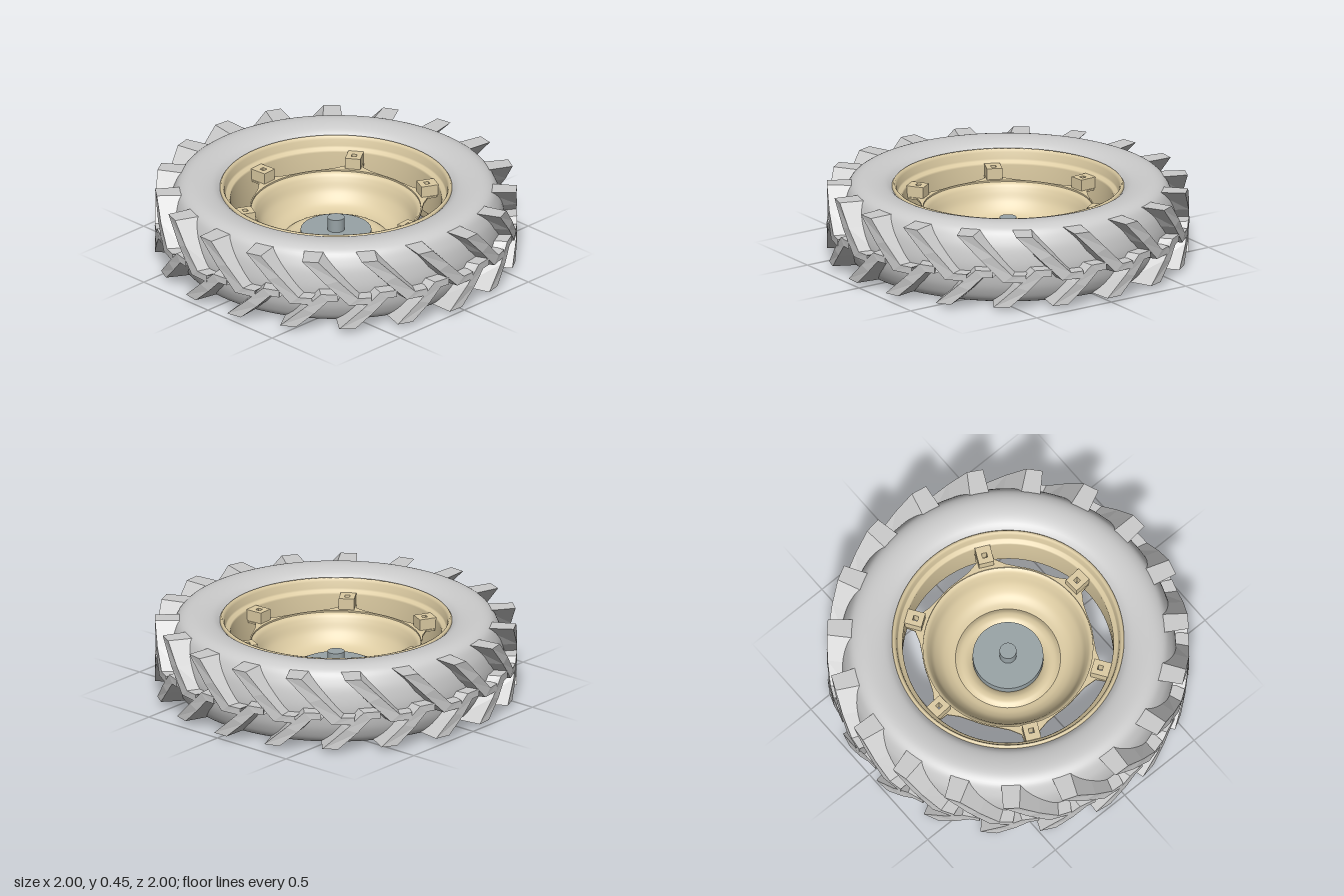
import * as THREE from 'three';

const H = 0.455; // overall height; the wheel axis is y
const mat = (color, extra = {}) => new THREE.MeshStandardMaterial({ color, ...extra });
const rubber = mat(0xcccccc, { side: THREE.DoubleSide });
const rubberFlat = mat(0xcccccc, { flatShading: true });
const paint = mat(0xdccba2, { side: THREE.DoubleSide });
const steel = mat(0x98a3a6);

const vecs = (list) => list.map(([r, y]) => new THREE.Vector2(r, y));
// Adds the mirror image of a lower half profile, so it runs bottom to top
const mirrored = (list) => [...list, ...list.slice(0, -1).reverse().map(([r, y]) => [r, H - y])];
const smooth = (list, n) => new THREE.SplineCurve(vecs(list)).getPoints(n);

function add(parent, name, geometry, material, x = 0, y = 0, z = 0) {
  const mesh = new THREE.Mesh(geometry, material);
  mesh.name = name;
  mesh.position.set(x, y, z);
  parent.add(mesh);
  return mesh;
}

// Tread bar cross-sections [uLeft, yLeft, uRight, yRight], wrapped round the axis
const upperBar = [
  [-0.045, 0.43, 0.045, 0.43],
  [0.088, 0.295, 0.155, 0.318],
  [0.215, 0.168, 0.265, 0.208],
  [0.34, 0.168, 0.34, 0.208],
];
const lowerBar = [
  [-0.045, 0.025, 0.045, 0.025],
  [0.085, 0.14, 0.15, 0.118],
  [0.185, 0.235, 0.225, 0.195],
  [0.28, 0.235, 0.28, 0.195],
];

function barGeometry(sections, flip) {
  const pos = [];
  const put = (u, y, r) => pos.push(r * Math.sin(u), y, r * Math.cos(u));
  const base = (y) => 0.91 - 0.08 * Math.pow(Math.abs(y - H / 2) / 0.2, 4);
  for (const [ul, yl, ur, yr] of sections) {
    put(ul, yl, 1);
    put(ur, yr, 1);
    put(ur + 0.022, yr, base(yr));
    put(ul - 0.022, yl, base(yl));
  }
  const idx = [];
  const quad = (a, b, c, d) => idx.push(...(flip ? [a, c, b, a, d, c] : [a, b, c, a, c, d]));
  for (let s = 0; s < sections.length - 1; s++) {
    for (let i = 0; i < 4; i++) {
      const j = (i + 1) % 4;
      quad(s * 4 + i, s * 4 + 4 + i, s * 4 + 4 + j, s * 4 + j);
    }
  }
  const e = (sections.length - 1) * 4;
  quad(0, 1, 2, 3);
  quad(e + 3, e + 2, e + 1, e);
  const indexed = new THREE.BufferGeometry();
  indexed.setAttribute('position', new THREE.Float32BufferAttribute(pos, 3));
  indexed.setIndex(idx);
  const geo = indexed.toNonIndexed();
  geo.computeVertexNormals();
  return geo;
}

function squareHole(cx, cy, angle, half) {
  const path = new THREE.Path();
  for (let i = 0; i < 4; i++) {
    const a = angle + Math.PI / 4 - (i * Math.PI) / 2;
    const x = cx + half * Math.SQRT2 * Math.cos(a);
    const y = cy + half * Math.SQRT2 * Math.sin(a);
    if (i) path.lineTo(x, y); else path.moveTo(x, y);
  }
  path.closePath();
  return path;
}

// Extrudes a plan shape upwards
function slab(shape, depth) {
  const geo = new THREE.ExtrudeGeometry(shape, { depth, bevelEnabled: false, curveSegments: 64 });
  return geo.rotateX(-Math.PI / 2);
}

export function createModel() {
  const wheel = new THREE.Group();
  wheel.name = 'tractorWheel';

  // Tyre carcass
  const tyre = new THREE.Group();
  tyre.name = 'tyre';
  wheel.add(tyre);
  const carcass = mirrored([
    [0.636, 0.05], [0.67, 0.022], [0.72, 0.006], [0.78, 0], [0.83, 0.007],
    [0.87, 0.03], [0.897, 0.075], [0.917, 0.135], [0.928, H / 2],
  ]);
  add(tyre, 'carcass', new THREE.LatheGeometry(smooth(carcass, 60), 128), rubber);

  // Chevron tread bars, the two rows staggered by about half a pitch
  const bars = 19;
  const pitch = (Math.PI * 2) / bars;
  const upper = barGeometry(upperBar, false);
  const lower = barGeometry(lowerBar, true);
  for (let i = 0; i < bars; i++) {
    add(tyre, 'upperTreadBar', upper, rubberFlat).rotation.y = -0.02 + i * pitch;
    add(tyre, 'lowerTreadBar', lower, rubberFlat).rotation.y = 0.02 + (i + 0.5) * pitch;
  }

  // Rim with rolled lips and a stepped well
  const rim = mirrored([
    [0.641, 0.06], [0.641, 0.042], [0.634, 0.032], [0.624, 0.034], [0.616, 0.05], [0.61, 0.085],
    [0.606, 0.095], [0.587, 0.103], [0.582, 0.113], [0.58, H / 2],
  ]);
  add(wheel, 'rim', new THREE.LatheGeometry(vecs(rim), 96), paint);

  // Dished centre disc, and the raised ring between it and the hub
  const dish = [
    [0.29, 0.104], [0.33, 0.113], [0.37, 0.137], [0.41, 0.185],
    [0.435, 0.24], [0.452, 0.27], [0.475, 0.285],
  ];
  const ring = [[0.195, 0.1], [0.21, 0.112], [0.235, 0.122], [0.265, 0.12], [0.29, 0.104]];
  add(wheel, 'centreDisc', new THREE.LatheGeometry(smooth(dish, 32), 96), paint);
  add(wheel, 'hubRing', new THREE.LatheGeometry(smooth(ring, 16), 96), paint);

  // Disc flange with six ears, and the rim brackets they bolt to
  const ears = 6;
  const start = THREE.MathUtils.degToRad(4);
  const flange = new THREE.Shape();
  const bracket = new THREE.Shape();
  bracket.moveTo(0.485, -0.043).lineTo(0.584, -0.043).lineTo(0.584, 0.043).lineTo(0.485, 0.043).closePath();
  bracket.holes.push(squareHole(0.53, 0, 0, 0.014));
  const bracketGeo = slab(bracket, 0.063);
  const outline = [
    [-0.38, 0.475], [-0.22, 0.488], [-0.1, 0.52], [-0.08, 0.575],
    [0.08, 0.575], [0.1, 0.52], [0.22, 0.488], [0.38, 0.475],
  ];
  for (let i = 0; i < ears; i++) {
    const a = start + (i * Math.PI * 2) / ears;
    outline.forEach(([da, r], k) => {
      const x = r * Math.cos(a + da);
      const y = r * Math.sin(a + da);
      if (i + k) flange.lineTo(x, y); else flange.moveTo(x, y);
    });
    // round edge up to the next ear
    flange.absarc(0, 0, 0.475, a + 0.38, a + Math.PI / 3 - 0.38, false);
    flange.holes.push(squareHole(0.53 * Math.cos(a), 0.53 * Math.sin(a), a, 0.014));
    add(wheel, 'rimBracket', bracketGeo, paint, 0, 0.29, 0).rotation.y = a;
  }
  flange.closePath();
  flange.holes.push(new THREE.Path().absarc(0, 0, 0.468, 0, Math.PI * 2, true));
  add(wheel, 'discFlange', slab(flange, 0.01), paint, 0, 0.28, 0);

  // Hub drum, axle stub and wheel bolts
  const hub = new THREE.Group();
  hub.name = 'hub';
  wheel.add(hub);
  add(hub, 'hubDrum', new THREE.CylinderGeometry(0.195, 0.195, 0.056, 64), steel, 0, 0.126, 0);
  add(hub, 'axleStub', new THREE.CylinderGeometry(0.047, 0.047, 0.08, 32), steel, 0, 0.188, 0);
  const boltGeo = new THREE.CylinderGeometry(0.01, 0.01, 0.04, 12);
  for (let i = 0; i < 8; i++) {
    const a = (i * Math.PI) / 4;
    add(hub, 'wheelBolt', boltGeo, steel, 0.135 * Math.cos(a), 0.083, 0.135 * Math.sin(a));
  }
  return wheel;
}
